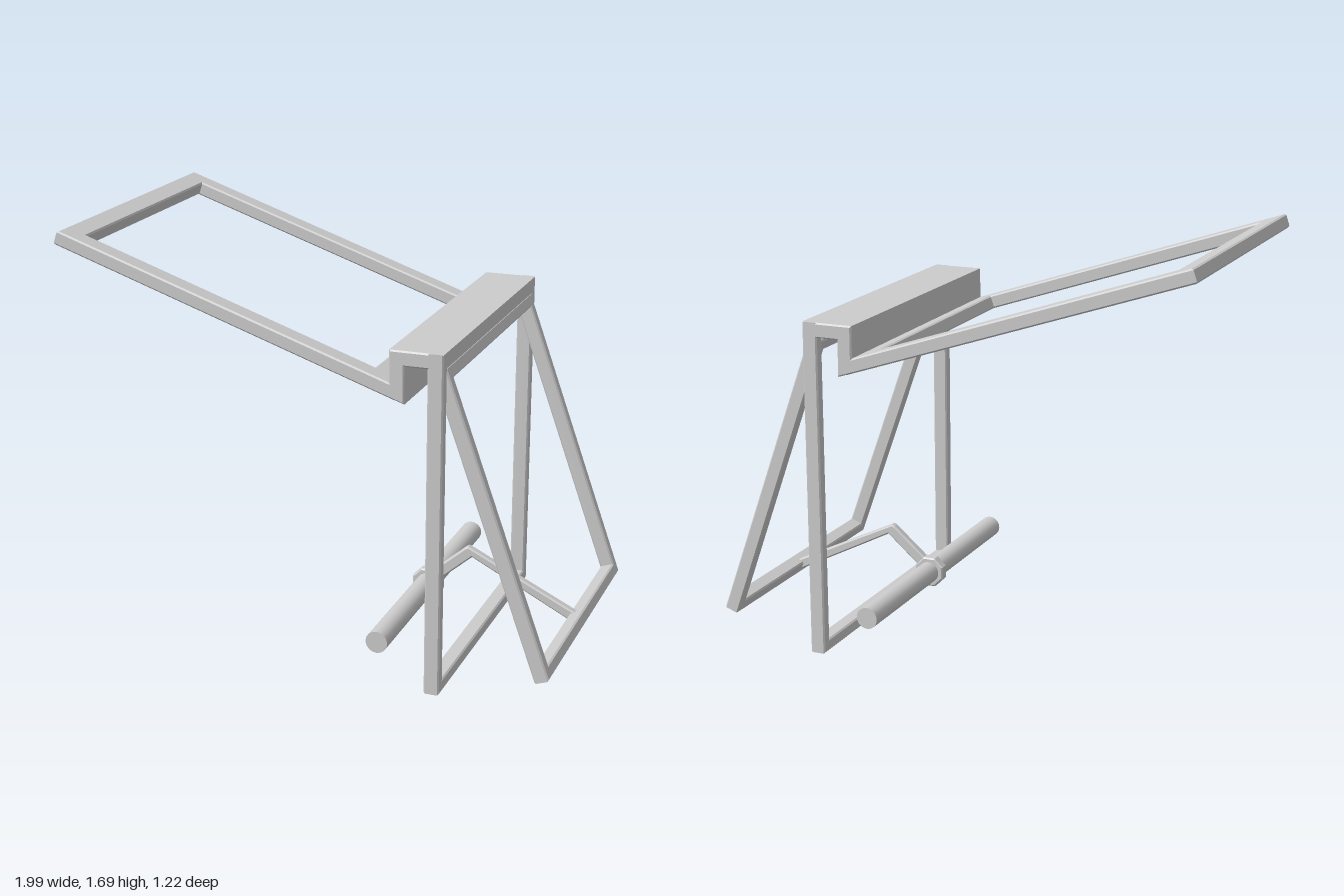
import * as THREE from 'three';

const material = new THREE.MeshStandardMaterial({ color: 0xcccccc });
const BEVEL = 0.006;

function add(group, name, geometry) {
  const mesh = new THREE.Mesh(geometry, material);
  mesh.name = name;
  group.add(mesh);
  return mesh;
}

// Extrude a shape to an exact size with slightly softened edges
function slab(shape, depth) {
  const g = new THREE.ExtrudeGeometry(shape, {
    depth: depth - 2 * BEVEL, bevelEnabled: true, bevelSize: BEVEL,
    bevelThickness: BEVEL, bevelOffset: -BEVEL, bevelSegments: 1,
  });
  return g.translate(0, 0, BEVEL);
}

function polygon(points) {
  return new THREE.Shape(points.map(([x, y]) => new THREE.Vector2(x, y)));
}

// Rectangular frame whose outer face runs from p0 to p1 in the xy plane;
// side / start / end are the bar widths
function frame(group, name, p0, p1, halfWidth, side, start, end, depth) {
  const up = new THREE.Vector3(p1[0] - p0[0], p1[1] - p0[1], 0);
  const length = up.length();
  up.normalize();
  const across = new THREE.Vector3(0, 0, 1);
  const normal = across.clone().cross(up);
  const w = halfWidth, i = halfWidth - side;
  const shape = polygon([[-w, 0], [w, 0], [w, length], [-w, length]]);
  shape.holes.push(polygon([[-i, start], [-i, length - end], [i, length - end], [i, start]]));
  const mesh = add(group, name, slab(shape, depth));
  mesh.quaternion.setFromRotationMatrix(new THREE.Matrix4().makeBasis(across, up, normal));
  mesh.position.set(p0[0], p0[1], 0);
}

export function createModel() {
  const model = new THREE.Group();
  model.name = 'foldingFrame';

  // Three rectangular frames: upright, rear brace and sloping rack
  frame(model, 'uprightFrame', [0.576, 0], [0.576, 1.36], 0.61, 0.045, 0.05, 0.05, 0.062);
  frame(model, 'braceFrame', [0.997, 0.113], [0.572, 1.30], 0.565, 0.045, 0.05, 0.05, 0.06);
  frame(model, 'rackFrame', [0.414, 1.217], [-0.982, 1.69], 0.61, 0.085, 0.139, 0.087, 0.056);

  // Hooked channel joining the rack to the upright
  const hook = polygon([[0.576, 1.36], [0.365, 1.36], [0.365, 1.175],
    [0.426, 1.155], [0.426, 1.30], [0.576, 1.30]]);
  add(model, 'topBracket', slab(hook, 1.22)).position.z = -0.61;

  // Bent arm reaching from the brace to the crossbar
  const armZ = -0.016;
  const arm = polygon([[0.955, 0.145], [0.495, 0.368], [0.483, 0.362],
    [0.30, 0.205], [0.333, 0.17], [0.512, 0.325], [0.94, 0.105]]);
  add(model, 'bentArm', slab(arm, 0.036)).position.z = armZ - 0.018;

  // Crossbar and its octagonal collar
  const bar = new THREE.CylinderGeometry(0.044, 0.044, 1.22, 24).rotateX(Math.PI / 2);
  add(model, 'crossbar', bar).position.set(0.322, 0.183, 0);
  const collarShape = polygon(Array.from({ length: 8 }, (_, k) => {
    const a = (k + 0.5) * Math.PI / 4;
    return [0.067 * Math.cos(a), 0.067 * Math.sin(a)];
  }));
  add(model, 'collar', slab(collarShape, 0.044)).position.set(0.322, 0.183, armZ - 0.022);

  return model;
}
